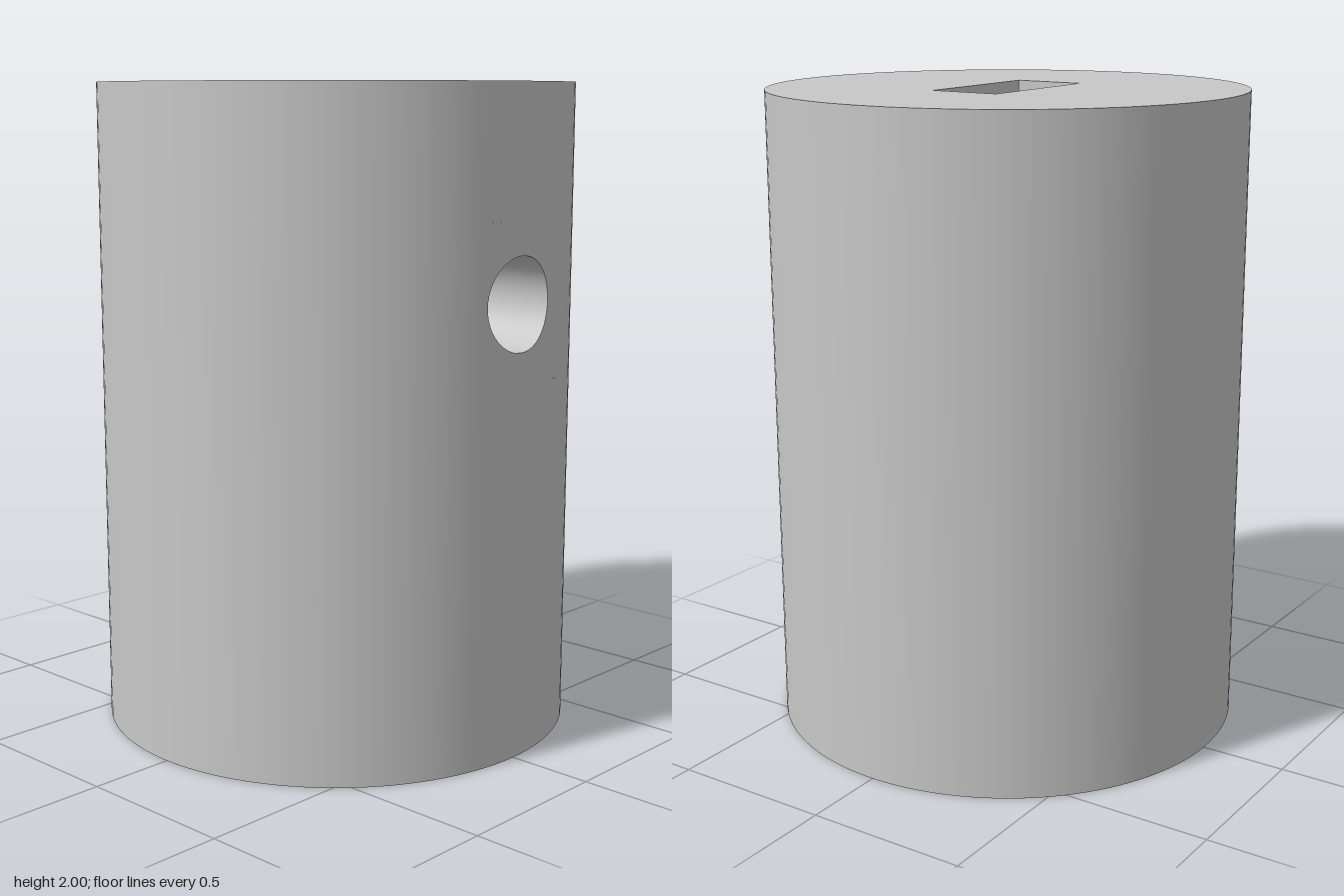
import * as THREE from 'three';

const R = 0.735, H = 2, SEG = 96;             // body
const SLOT_X = 0.1125, SLOT_Z = 0.233, SLOT_FLOOR = 1.0;
const HOLE_R = 0.14, HOLE_Y = 1.37;           // cross hole towards +x
const BORE_R = 0.305, BORE_TOP = 0.85;
const PATCH_A = 0.3, PATCH_H = 0.24;          // half angle and half height of the wall around the hole
const N = 48;

// Surface through closed rings; point(phi, j) and normal(p, phi) give each vertex
function loft(rings, point, normal) {
  const pos = [], nor = [], idx = [];
  for (let j = 0; j < rings; j++) {
    for (let i = 0; i <= N; i++) {
      const phi = (i / N) * Math.PI * 2;
      const p = point(phi, j);
      pos.push(...p);
      nor.push(...normal(p, phi));
      if (j < rings - 1 && i < N) {
        const a = j * (N + 1) + i, b = a + N + 1;
        idx.push(a, b, b + 1, a, b + 1, a + 1);
      }
    }
  }
  const g = new THREE.BufferGeometry();
  g.setAttribute('position', new THREE.Float32BufferAttribute(pos, 3));
  g.setAttribute('normal', new THREE.Float32BufferAttribute(nor, 3));
  g.setIndex(idx);
  return g;
}

function rect(path, x, y0, y1) {
  return path.moveTo(-x, y0).lineTo(x, y0).lineTo(x, y1).lineTo(-x, y1).closePath();
}

function circleHole(shape, r, y = 0) {
  shape.holes.push(new THREE.Path().absarc(0, y, r, 0, Math.PI * 2, true));
  return shape;
}

export function createModel() {
  const group = new THREE.Group();
  const metal = new THREE.MeshStandardMaterial({ color: 0xc8c8c8, side: THREE.DoubleSide });
  metal.name = 'plain grey';
  const add = (name, geometry, x = 0, y = 0, z = 0) => {
    const mesh = new THREE.Mesh(geometry, metal);
    mesh.name = name;
    mesh.position.set(x, y, z);
    group.add(mesh);
  };

  // Outer wall, left open around the cross hole
  add('outerWall', new THREE.CylinderGeometry(R, R, H, SEG, 1, true,
    Math.PI / 2 + PATCH_A, Math.PI * 2 - 2 * PATCH_A), 0, H / 2);
  for (const [name, y0, y1] of [['wallBelowHole', 0, HOLE_Y - PATCH_H], ['wallAboveHole', HOLE_Y + PATCH_H, H]]) {
    add(name, new THREE.CylinderGeometry(R, R, y1 - y0, 12, 1, true,
      Math.PI / 2 - PATCH_A, 2 * PATCH_A), 0, (y0 + y1) / 2);
  }

  // Curved wall patch from the hole rim out to a square frame
  const rings = 5;
  add('wallAroundHole', loft(rings, (phi, j) => {
    const t = j / (rings - 1), s = Math.sin(phi), c = Math.cos(phi);
    const k = 1 / Math.max(Math.abs(s), Math.abs(c));
    const a = THREE.MathUtils.lerp(Math.asin(HOLE_R * s / R), PATCH_A * k * s, t);
    const y = THREE.MathUtils.lerp(HOLE_R * c, PATCH_H * k * c, t);
    return [R * Math.cos(a), HOLE_Y + y, R * Math.sin(a)];
  }, (p) => [p[0] / R, 0, p[2] / R]));

  // Cross hole running from the slot to the outer wall
  add('crossHole', loft(2, (phi, j) => {
    const z = HOLE_R * Math.sin(phi);
    return [j ? Math.sqrt(R * R - z * z) : SLOT_X, HOLE_Y + HOLE_R * Math.cos(phi), z];
  }, (p, phi) => [0, -Math.cos(phi), -Math.sin(phi)]));

  // End faces
  const disc = () => new THREE.Shape().absarc(0, 0, R, 0, Math.PI * 2, false);
  const top = disc();
  top.holes.push(rect(new THREE.Path(), SLOT_X, -SLOT_Z, SLOT_Z));
  add('topFace', new THREE.ShapeGeometry(top, SEG / 2).rotateX(-Math.PI / 2), 0, H);
  add('bottomFace', new THREE.ShapeGeometry(circleHole(disc(), BORE_R), SEG / 2).rotateX(Math.PI / 2));

  // Rectangular slot
  const depth = H - SLOT_FLOOR, midY = (H + SLOT_FLOOR) / 2;
  const pierced = circleHole(rect(new THREE.Shape(), SLOT_Z, SLOT_FLOOR, H), HOLE_R, HOLE_Y);
  add('slotPiercedWall', new THREE.ShapeGeometry(pierced, N / 2).rotateY(-Math.PI / 2), SLOT_X);
  add('slotSideWall', new THREE.PlaneGeometry(2 * SLOT_Z, depth).rotateY(Math.PI / 2), -SLOT_X, midY);
  add('slotBackWall', new THREE.PlaneGeometry(2 * SLOT_X, depth), 0, midY, -SLOT_Z);
  add('slotFrontWall', new THREE.PlaneGeometry(2 * SLOT_X, depth).rotateY(Math.PI), 0, midY, SLOT_Z);
  add('slotFloor', new THREE.PlaneGeometry(2 * SLOT_X, 2 * SLOT_Z).rotateX(-Math.PI / 2), 0, SLOT_FLOOR);

  // Round bore from below
  add('boreWall', new THREE.LatheGeometry(
    [new THREE.Vector2(BORE_R, BORE_TOP), new THREE.Vector2(BORE_R, 0)], SEG));
  add('boreCeiling', new THREE.CircleGeometry(BORE_R, SEG).rotateX(Math.PI / 2), 0, BORE_TOP);

  return group;
}
